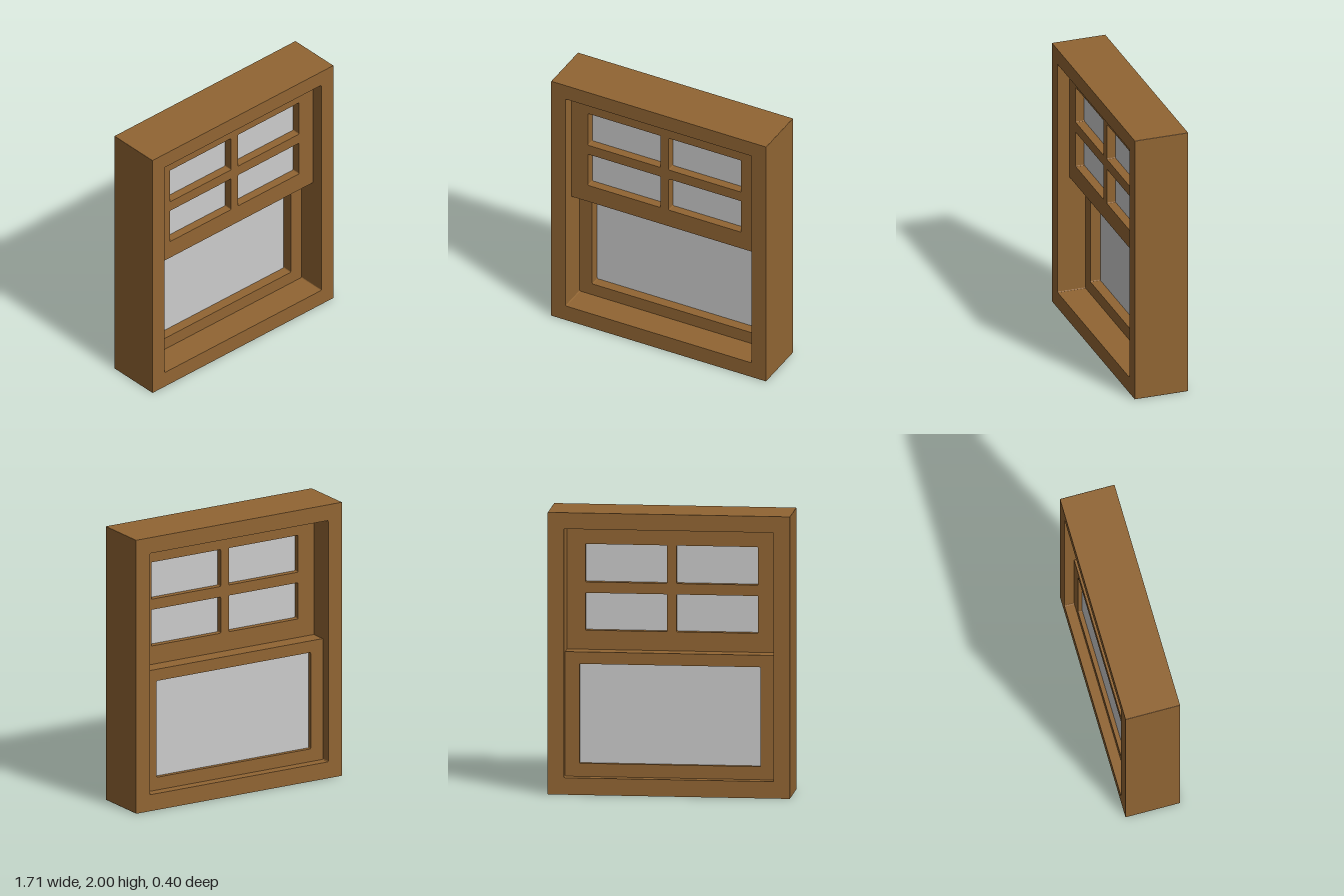
import * as THREE from 'three';

const wood = new THREE.MeshStandardMaterial({ color: 0x916533 });
const glass = new THREE.MeshStandardMaterial({ color: 0xcccccc });

// Rectangle with slightly rounded corners, traced on a Shape or Path
function trace(path, [x0, y0, x1, y1], r) {
  const corners = [[x1 - r, y0 + r], [x1 - r, y1 - r], [x0 + r, y1 - r], [x0 + r, y0 + r]];
  const points = [];
  corners.forEach(([cx, cy], i) => {
    for (let k = 0; k <= 3; k++) {
      const a = (i - 1 + k / 3) * Math.PI / 2;
      points.push(new THREE.Vector2(cx + r * Math.cos(a), cy + r * Math.sin(a)));
    }
  });
  return path.setFromPoints(points);
}

// Wooden board with rectangular openings, filling z0 to z1
function board(name, outer, openings, z0, z1) {
  const shape = trace(new THREE.Shape(), outer, 0.003);
  openings.forEach(o => shape.holes.push(trace(new THREE.Path(), o, 0.007)));
  const geometry = new THREE.ExtrudeGeometry(shape, { depth: z1 - z0, bevelEnabled: false });
  geometry.translate(0, 0, z0);
  const mesh = new THREE.Mesh(geometry, wood);
  mesh.name = name;
  return mesh;
}

// Sash: a board with a thin pane let into every opening
function sash(name, outer, openings, z0, z1, paneZ) {
  const group = new THREE.Group();
  group.name = name;
  group.add(board(name + 'Frame', outer, openings, z0, z1));
  openings.forEach(([x0, y0, x1, y1], i) => {
    const pane = new THREE.Mesh(
      new THREE.BoxGeometry(x1 - x0 + 0.02, y1 - y0 + 0.02, 0.012), glass);
    pane.position.set((x0 + x1) / 2, (y0 + y1) / 2, paneZ);
    pane.name = name + 'Pane' + (i + 1);
    group.add(pane);
  });
  return group;
}

export function createModel() {
  const model = new THREE.Group();
  model.name = 'sashWindow';

  // Deep outer casing
  model.add(board('casing', [-0.853, 0, 0.853, 2], [[-0.738, 0.12, 0.738, 1.885]], -0.198, 0.198));

  // Upper sash, towards the front, with a two by two grid of panes
  const lights = [];
  for (const [y0, y1] of [[1.138, 1.403], [1.48, 1.75]]) {
    for (const [x0, x1] of [[-0.608, -0.033], [0.033, 0.608]]) lights.push([x0, y0, x1, y1]);
  }
  model.add(sash('upperSash', [-0.739, 1.0, 0.739, 1.886], lights, -0.01, 0.11, 0.04));

  // Lower sash, towards the back, with a single pane
  model.add(sash('lowerSash', [-0.739, 0.119, 0.739, 1.003],
    [[-0.638, 0.213, 0.638, 0.918]], -0.127, -0.01, -0.09));

  return model;
}
